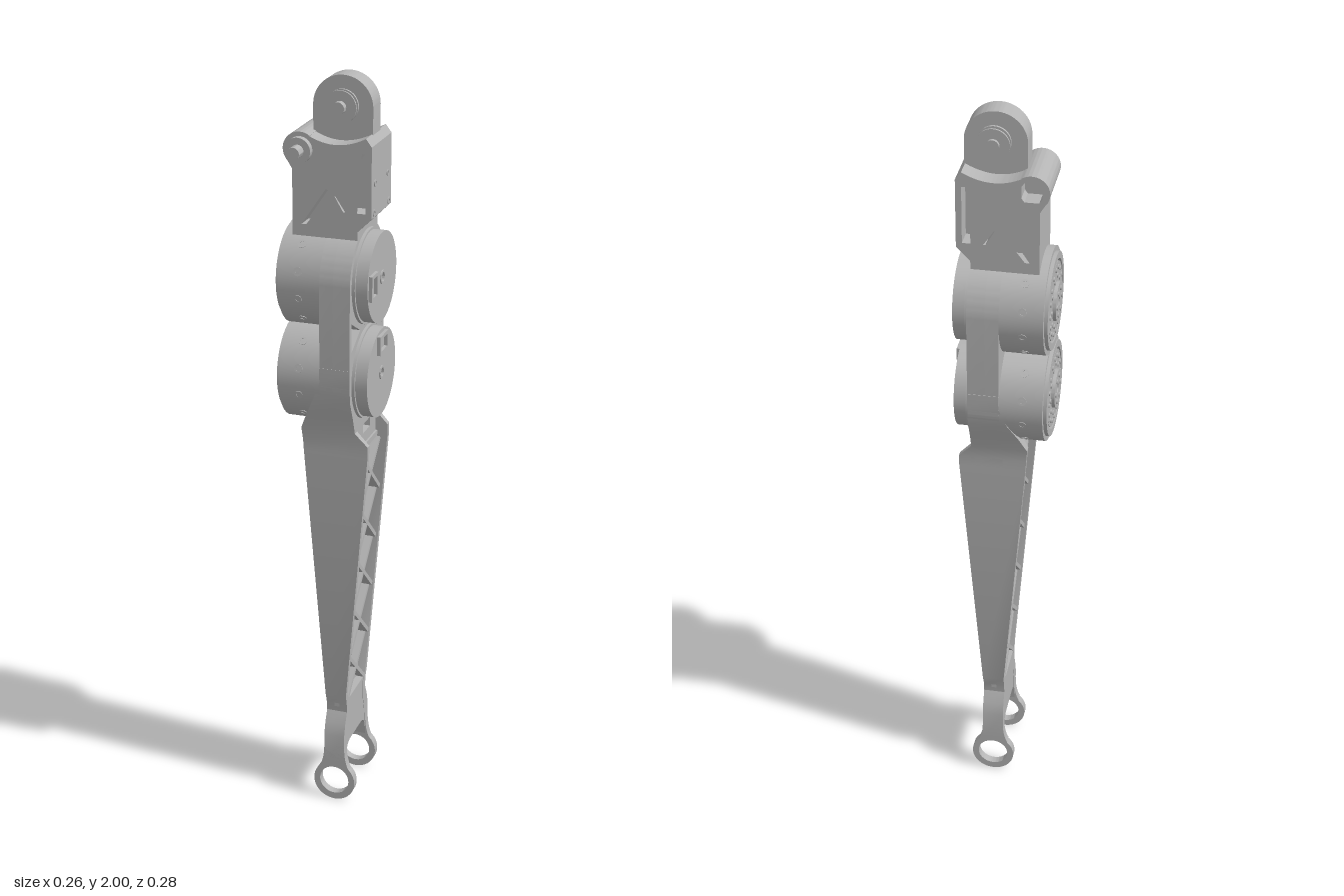
import * as THREE from 'three';
import { toCreasedNormals } from 'three/addons/utils/BufferGeometryUtils.js';

const grey = new THREE.MeshStandardMaterial({ color: 0xb4b4b4 });
grey.name = 'machined grey';

export function createModel() {
  const root = new THREE.Group();
  root.name = 'leg';
  const add = (name, geo, parent = root) => {
    const m = new THREE.Mesh(toCreasedNormals(geo, 0.5), grey);
    m.name = name;
    parent.add(m);
    return m;
  };
  const poly = (pts, Kind = THREE.Shape) => new Kind(pts.map(p => new THREE.Vector2(...p)));
  const circle = (x, y, r, Kind = THREE.Shape) => {
    const c = new Kind();
    c.absarc(x, y, r, 0, Math.PI * 2, false);
    return c;
  };
  const hole = (x, y, r) => circle(x, y, r, THREE.Path);
  const extrude = (shape, a, b) => new THREE.ExtrudeGeometry(shape,
    { depth: b - a, bevelEnabled: false, curveSegments: 28 }).translate(0, 0, a);
  // Shapes drawn in (-z, y) and extruded along x
  const extrudeX = (shape, a, b) => extrude(shape, a, b).rotateY(Math.PI / 2);
  const ringX = (y, r, bore, a, b) => {
    const s = circle(0, y, r);
    s.holes.push(hole(0, y, bore));
    return extrudeX(s, a, b);
  };
  const box = (x0, x1, y0, y1, z0, z1) => new THREE.BoxGeometry(x1 - x0, y1 - y0, z1 - z0)
    .translate((x0 + x1) / 2, (y0 + y1) / 2, (z0 + z1) / 2);
  const rod = (x, y, r, a, b) => extrude(circle(x, y, r), a, b);

  // Rectangular cross-sections [y, x0, x1, z0, z1] joined from bottom to top
  const loft = (sections) => {
    const pos = [], idx = [], n = sections.length;
    for (const [y, x0, x1, z0, z1] of sections) pos.push(x0, y, z1, x1, y, z1, x1, y, z0, x0, y, z0);
    for (let i = 0; i < n - 1; i++) for (let j = 0; j < 4; j++) {
      const a = i * 4 + j, b = i * 4 + (j + 1) % 4;
      idx.push(a, b, b + 4, a, b + 4, a + 4);
    }
    const t = (n - 1) * 4;
    idx.push(0, 2, 1, 0, 3, 2, t, t + 1, t + 2, t, t + 2, t + 3);
    const g = new THREE.BufferGeometry();
    g.setAttribute('position', new THREE.Float32BufferAttribute(pos, 3));
    g.setIndex(idx);
    return g;
  };

  // Side plates: fork arm, waist, tapered shank, flare into the motor frame
  const side = [
    [0.11, -0.002, 0.055, 0.08, 0.102], [0.2, -0.002, 0.055, 0.07, 0.102],
    [0.235, -0.002, 0.055, 0.06, 0.092], [0.265, -0.002, 0.055, 0.06, 0.078],
    [0.29, -0.002, 0.055, 0.06, 0.08], [0.32, -0.002, 0.056, 0.076, 0.09],
    [1.03, -0.06, 0.113, 0.076, 0.09], [1.06, -0.062, 0.113, 0.076, 0.09],
    [1.095, -0.065, 0.08, 0.076, 0.094], [1.14, -0.045, 0.08, 0.076, 0.11],
    [1.19, -0.02, 0.08, 0.08, 0.132], [1.24, 0, 0.08, 0.1, 0.138], [1.28, 0, 0.08, 0.1, 0.138],
  ];
  add('leftSidePlate', loft(side));
  add('rightSidePlate', loft(side.map(([y, a, b, z0, z1]) => [y, a, b, -z1, -z0])));

  // Fork eyes
  for (const z of [0.08, -0.102]) {
    const eye = new THREE.Shape();
    eye.moveTo(0.055, 0.17);
    eye.lineTo(-0.002, 0.17);
    eye.quadraticCurveTo(-0.002, 0.125, -0.014, 0.103);
    eye.absarc(0.0265, 0.058, 0.058, 2.33, 0.81, false);
    eye.quadraticCurveTo(0.055, 0.125, 0.055, 0.17);
    eye.holes.push(hole(0.0265, 0.06, 0.041));
    add('forkEye', extrude(eye, z, z + 0.022));
  }
  // Fork crown with rounded inner corners
  const crown = poly([[-0.075, 0.3], [-0.08, 0.2], [-0.082, 0.125]]);
  crown.quadraticCurveTo(-0.078, 0.165, -0.045, 0.167);
  crown.lineTo(0.045, 0.167);
  crown.quadraticCurveTo(0.078, 0.165, 0.082, 0.125);
  crown.lineTo(0.08, 0.2);
  crown.lineTo(0.075, 0.3);
  add('forkCrown', extrudeX(crown, -0.001, 0.054));

  // Shank web with small through holes, and crossed ribs on it
  const web = poly([[-0.08, 0.28], [0.08, 0.28], [0.08, 1.05], [-0.08, 1.05]]);
  for (const y of [0.345, 0.6, 0.775, 0.995]) web.holes.push(hole(0, y, 0.007));
  add('shankWeb', extrudeX(web, 0.02, 0.034));
  const cells = 5, y0 = 0.295, pitch = 0.146, half = 0.076;
  const halfDepth = y => 0.024 + (y - 0.3) * 0.066;
  for (let i = 0; i < cells; i++) {
    const yc = y0 + pitch * (i + 0.5);
    for (const s of [-1, 1]) {
      const rib = new THREE.BoxGeometry(2 * halfDepth(yc), Math.hypot(2 * half, pitch) - 0.008, 0.011);
      const m = add('shankRib', rib);
      m.position.set(0.027, yc, 0);
      m.rotation.x = s * Math.atan2(2 * half, pitch);
    }
  }
  add('shankTopRib', box(-0.02, 0.085, 1.025, 1.04, -half, half));

  // Motor frame: stadium with a neck, plus pocketed outer layer
  const yU = 1.49, yL = 1.235, R = 0.137;
  const frame = (windows) => {
    const s = new THREE.Shape();
    s.moveTo(-0.09, 1.035);
    s.lineTo(0.09, 1.035);
    s.lineTo(0.09, 1.08);
    s.quadraticCurveTo(0.095, 1.115, 0.115, 1.16);
    s.quadraticCurveTo(R, 1.195, R, yL);
    s.absarc(0, yU, R, 0, Math.PI, false);
    s.lineTo(-R, yL);
    s.quadraticCurveTo(-R, 1.195, -0.115, 1.16);
    s.quadraticCurveTo(-0.095, 1.115, -0.09, 1.08);
    s.holes.push(hole(0, yU, 0.012), hole(0, yL, 0.012));
    s.holes.push(poly([[-0.03, 1.07], [0.03, 1.07], [0.03, 1.095], [-0.03, 1.095]], THREE.Path));
    if (windows) for (const k of [-1, 1])
      s.holes.push(poly([[k * 0.122, 1.4], [k * 0.122, 1.325], [k * 0.055, 1.3625]], THREE.Path));
    return s;
  };
  add('motorFrame', extrudeX(frame(false), 0, 0.035));
  add('motorFramePocketed', extrudeX(frame(true), 0.035, 0.08));

  // Motors
  for (const y of [yU, yL]) {
    const motor = new THREE.Group();
    motor.name = y === yU ? 'upperMotor' : 'lowerMotor';
    root.add(motor);
    add('housing', ringX(y, R, 0.012, -0.11, 0), motor);
    add('cover', ringX(y, 0.117, 0.012, 0.08, 0.119), motor);
    add('coverRim', ringX(y, 0.123, 0.11, 0.08, 0.088), motor);
    add('coverBushing', ringX(y, 0.018, 0.012, 0.118, 0.122), motor);
    // Output face with rings of bolts
    add('outputRim', ringX(y, 0.124, 0.106, -0.119, -0.11), motor);
    add('outputPlate', ringX(y, 0.1, 0.012, -0.118, -0.11), motor);
    add('outputHub', ringX(y, 0.05, 0.012, -0.127, -0.118), motor);
    for (const [count, r, size, x] of [[16, 0.085, 0.006, -0.121], [10, 0.065, 0.006, -0.121], [6, 0.034, 0.006, -0.13]])
      for (let i = 0; i < count; i++) {
        const a = i / count * Math.PI * 2;
        const bolt = extrudeX(circle(0, 0, size), x, x + 0.005);
        add('outputBolt', bolt.translate(0, y + r * Math.sin(a), r * Math.cos(a)), motor);
      }
    // Radial screws on the front and back of the housing
    for (const s of [0, Math.PI]) for (const d of [-45, -15, 15, 45]) {
      const a = s + d * Math.PI / 180;
      const ring = circle(0, 0, 0.011);
      ring.holes.push(hole(0, 0, 0.006));
      const screw = add('housingScrew', extrude(ring, R - 0.004, R + 0.001), motor);
      screw.position.set(-0.058, y, 0);
      screw.rotation.x = a;
    }
  }
  // Cable connectors on the covers
  const connector = (y, z, h, w) => {
    const s = poly([[-w, -h], [w, -h], [w, h], [-w, h]]);
    s.holes.push(poly([[-w + 0.009, -h + 0.009], [w - 0.009, -h + 0.009], [w - 0.009, h - 0.009], [-w + 0.009, h - 0.009]], THREE.Path));
    add('connector', extrudeX(s, 0.11, 0.128).translate(0, y, z));
  };
  connector(1.49, 0.082, 0.033, 0.025);
  connector(1.317, 0.004, 0.025, 0.033);

  // Hip block: solid core between pocketed faces
  const block = (pockets, slot) => {
    const s = poly([[-0.09, 1.585], [0.08, 1.585], [0.08, 1.625], [0.115, 1.66], [0.115, 1.84], [0.1, 1.86]]);
    s.quadraticCurveTo(0.025, 1.82, -0.045, 1.855);
    s.absarc(-0.07, 1.82, 0.044, 0.95, 3.9, false);
    s.lineTo(-0.09, 1.77);
    if (pockets) s.holes.push(
      poly([[-0.066, 1.632], [0.075, 1.632], [0.012, 1.725], [-0.004, 1.725]], THREE.Path),
      poly([[0.1, 1.672], [0.1, 1.822], [0.09, 1.822], [0.02, 1.71], [0.042, 1.672]], THREE.Path));
    if (slot) s.holes.push(poly([[-0.088, 1.795], [-0.052, 1.795], [-0.045, 1.805], [-0.045, 1.835],
      [-0.052, 1.845], [-0.088, 1.845], [-0.095, 1.835], [-0.095, 1.805]], THREE.Path));
    return s;
  };
  add('hipBlockCore', extrude(block(false, false), -0.03, 0.03));
  add('hipBlockFront', extrude(block(true, false), 0.03, 0.078));
  add('hipBlockBack', extrude(block(true, true), -0.078, -0.03));
  for (const [y, z] of [[1.745, 0.05], [1.745, -0.05], [1.672, 0.058], [1.672, -0.058]])
    add('hipBlockScrew', ringX(0, 0.009, 0.005, 0.113, 0.117).translate(0, y, z));

  // Stub pin on the block
  add('stubFlange', rod(-0.07, 1.82, 0.033, 0.077, 0.095));
  add('stubPin', rod(-0.07, 1.82, 0.016, 0.095, 0.127));

  // Top lug with its pin and washers
  const lug = poly([[-0.052, 1.83], [0.102, 1.83], [0.102, 1.923]]);
  lug.absarc(0.025, 1.923, 0.077, 0, Math.PI, false);
  add('topLug', extrude(lug, -0.029, 0.029));
  add('lugPin', rod(0.027, 1.927, 0.016, -0.066, 0.075));
  for (const s of [-1, 1]) {
    const washer = (r, a, b) => rod(0.027, 1.927, r, Math.min(s * a, s * b), Math.max(s * a, s * b));
    add('lugSpacer', washer(0.03, 0.029, 0.055));
    add('lugWasher', washer(0.041, 0.036, 0.042));
    add('lugWasher', washer(0.041, 0.053, 0.058));
  }
  return root;
}
